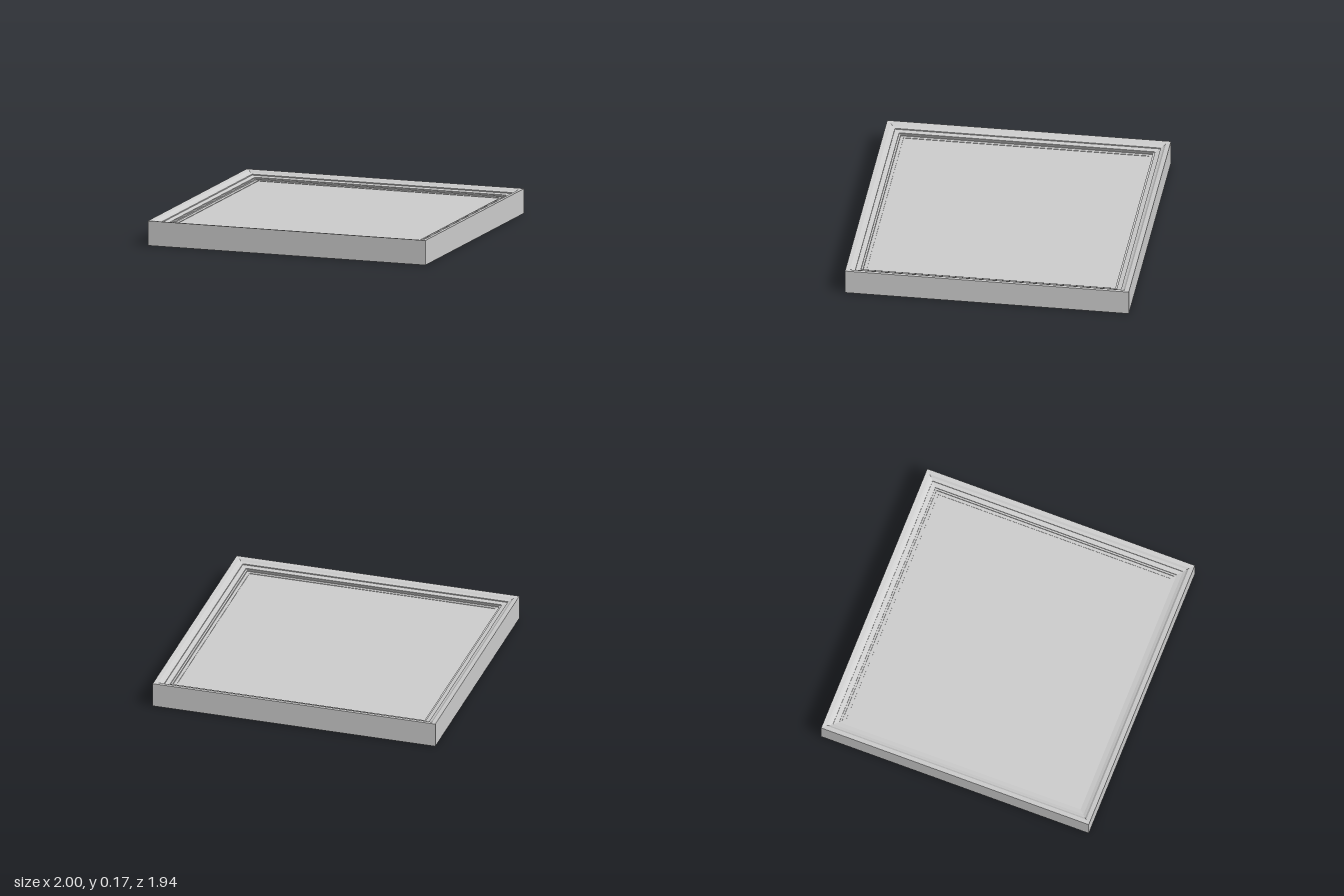
import * as THREE from 'three';

const HALF_X = 1, HALF_Z = 0.97, INSET = 0.13;

// Sweeps a profile of [inset, height] points round a rectangle with mitred corners.
function rectangularMoulding(profile) {
  const corners = [[-1, 1], [1, 1], [1, -1], [-1, -1]];
  const point = ([sx, sz], [inset, y]) => [sx * (HALF_X - inset), y, sz * (HALF_Z - inset)];
  const positions = [];
  for (let side = 0; side < 4; side++) {
    const a = corners[side], b = corners[(side + 1) % 4];
    for (let i = 0; i < profile.length - 1; i++) {
      const p = profile[i], q = profile[i + 1];
      const a0 = point(a, p), b0 = point(b, p), a1 = point(a, q), b1 = point(b, q);
      positions.push(...a0, ...b0, ...b1, ...a0, ...b1, ...a1);
    }
  }
  const geometry = new THREE.BufferGeometry();
  geometry.setAttribute('position', new THREE.Float32BufferAttribute(positions, 3));
  geometry.computeVertexNormals();
  return geometry;
}

export function createModel() {
  const group = new THREE.Group();
  const material = new THREE.MeshStandardMaterial({ color: 0xcccccc });

  // Frame: recess wall, underside, outer wall, then the stepped inner moulding
  const frame = new THREE.Mesh(rectangularMoulding([
    [INSET, 0.045], [INSET, 0], [0, 0], [0, 0.17],
    [0.03, 0.166], [0.042, 0.156], [0.062, 0.149], [0.062, 0.142],
    [0.095, 0.136], [0.095, 0.129], [0.108, 0.129], [0.108, 0.121],
    [INSET, 0.121], [INSET, 0.11],
  ]), material);
  frame.name = 'frame';
  group.add(frame);

  // Flat panel held inside the frame, set back from the underside
  const panel = new THREE.Mesh(
    new THREE.BoxGeometry(2 * (HALF_X - INSET), 0.078, 2 * (HALF_Z - INSET)), material);
  panel.position.y = 0.04 + 0.039;
  panel.name = 'panel';
  group.add(panel);

  return group;
}
